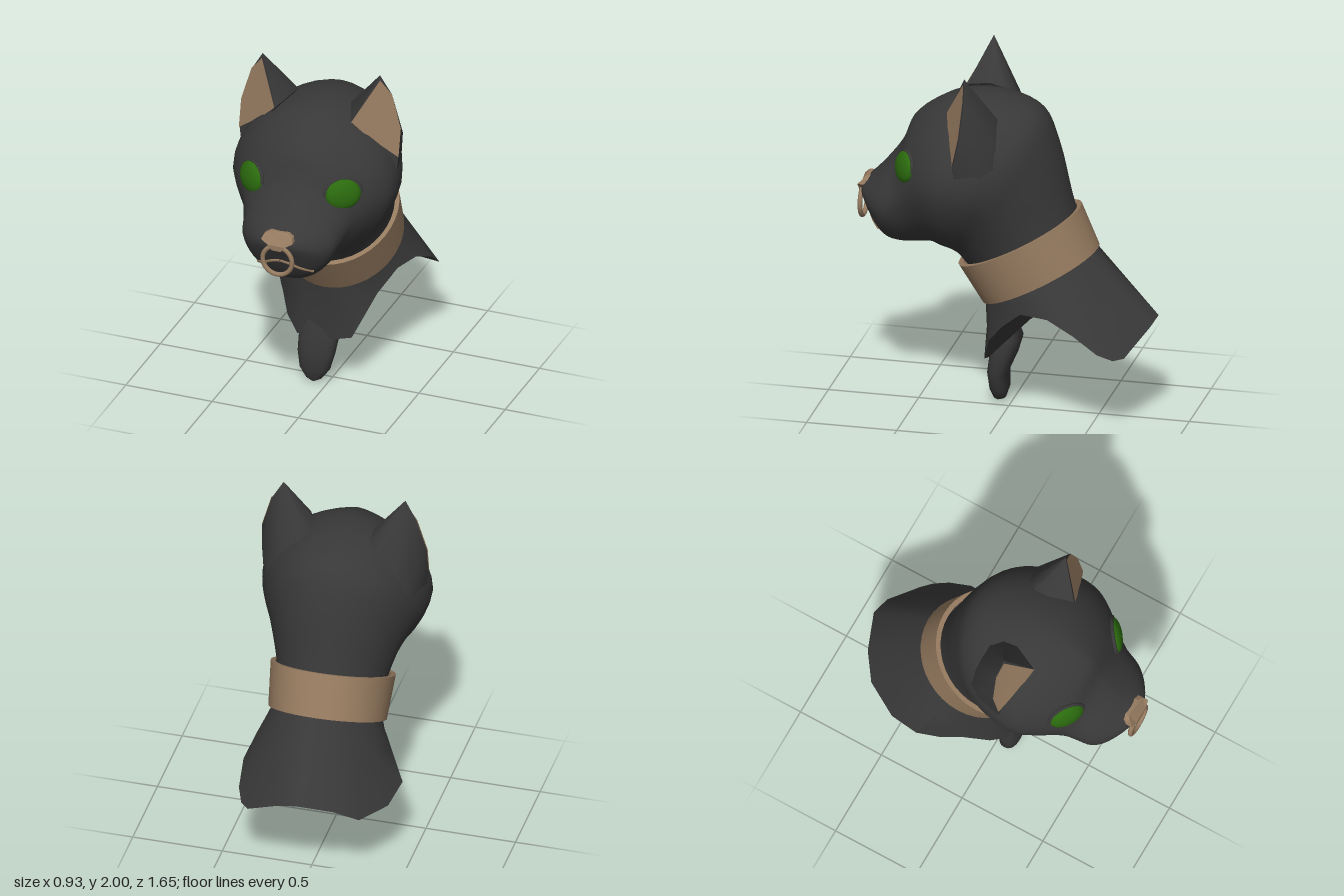
import * as THREE from 'three';
import { toCreasedNormals } from 'three/addons/utils/BufferGeometryUtils.js';
import { ConvexGeometry } from 'three/addons/geometries/ConvexGeometry.js';

const V = (x, y, z) => new THREE.Vector3(x, y, z);

// Skin a list of closed rings with equal point counts
function loft(rings) {
  const n = rings[0].length, index = [];
  for (let i = 0; i < rings.length - 1; i++) {
    for (let j = 0; j < n; j++) {
      const k = (j + 1) % n, a = i * n, b = a + n;
      index.push(a + j, a + k, b + j, a + k, b + k, b + j);
    }
  }
  const geo = new THREE.BufferGeometry().setFromPoints(rings.flat());
  geo.setIndex(index);
  geo.computeVertexNormals();
  return geo;
}

// Head and neck: rows of top y, top z, bottom y, bottom z, half width, crown pinch
const SECTIONS = [
  [1.215, 0.815, 1.195, 0.815, 0.004, 1],
  [1.25, 0.795, 1.13, 0.778, 0.11, 1],
  [1.31, 0.73, 1.02, 0.72, 0.205, 1.1],
  [1.39, 0.66, 0.945, 0.66, 0.26, 1.25],
  [1.5, 0.58, 0.92, 0.58, 0.285, 1.4],
  [1.64, 0.52, 0.925, 0.5, 0.32, 1.4],
  [1.74, 0.4, 0.94, 0.4, 0.405, 1.25],
  [1.8, 0.25, 0.92, 0.33, 0.46, 1.12],
  [1.8, 0.02, 0.9, 0.28, 0.455, 1.04],
  [1.72, -0.18, 0.88, 0.26, 0.41, 1.04],
  [1.53, -0.27, 0.85, 0.24, 0.36, 1.04],
  [1.25, -0.34, 0.8, 0.2, 0.31, 1],
  [1.03, -0.4, 0.68, 0.12, 0.28, 1],
];

function headGeometry() {
  const top = new THREE.CatmullRomCurve3(SECTIONS.map(s => V(s[4], s[0], s[1])));
  // The x of this curve carries the crown pinch
  const bottom = new THREE.CatmullRomCurve3(SECTIONS.map(s => V(s[5], s[2], s[3])));
  const rings = [], rows = 48, sides = 40;
  for (let i = 0; i <= rows; i++) {
    const t = top.getPoint(i / rows), b = bottom.getPoint(i / rows), ring = [];
    for (let j = 0; j < sides; j++) {
      const a = j / sides * Math.PI * 2, c = Math.cos(a), s = Math.sin(a);
      const bulge = Math.pow(Math.abs(s), c > 0 ? b.x : 0.95) * (1 - 0.14 * Math.max(0, -c));
      ring.push(V(Math.sign(s) * t.x * bulge,
        (t.y + b.y) / 2 + (t.y - b.y) / 2 * c, (t.z + b.z) / 2 + (t.z - b.z) / 2 * c));
    }
    rings.push(ring);
  }
  return loft(rings);
}

// Ragged lower edge of the shoulders, from the front round by the left side
const EDGE = [
  [-0.06, 0.28, 0.1], [0.05, 0.29, 0.1], [0.15, 0.32, 0.1], [0.21, 0.45, 0.06],
  [0.25, 0.55, -0.02], [0.32, 0.66, -0.14], [0.365, 0.66, -0.3], [0.395, 0.59, -0.45],
  [0.385, 0.49, -0.58], [0.35, 0.45, -0.66], [0.3, 0.45, -0.71], [0.11, 0.57, -0.81],
  [0, 0.6, -0.83], [-0.19, 0.55, -0.76], [-0.31, 0.46, -0.67], [-0.42, 0.45, -0.48],
  [-0.455, 0.5, -0.31], [-0.38, 0.4, -0.2], [-0.33, 0.42, -0.1], [-0.25, 0.35, 0.03],
  [-0.17, 0.28, 0.09],
].map(p => V(...p));

function shoulderGeometry() {
  const neck = EDGE.map(p => {
    const a = Math.atan2(p.x, p.z + 0.3), c = Math.cos(a);
    return V(0.285 * Math.sin(a), 0.828 - 0.16 * c, -0.163 + 0.287 * c);
  });
  // Slight waist towards the front
  const mid = EDGE.map((p, i) => {
    const q = p.clone().lerp(neck[i], 0.5);
    q.z -= 0.012 * Math.max(0, Math.cos(Math.atan2(p.x, p.z + 0.3)));
    return q;
  });
  const hollow = V(0, 0.7, -0.3);
  const inner = EDGE.map(p => p.clone().lerp(hollow, 0.35));
  return toCreasedNormals(loft([EDGE.map(() => hollow), inner, EDGE, mid, neck]), 0.8);
}

// Chest tuft: rows of y, centre x, half width, front z, back z
const TUFT = [
  [0, -0.08, 0.004, 0.085, 0.075], [0.02, -0.08, 0.045, 0.1, 0.035],
  [0.08, -0.075, 0.085, 0.12, 0.015], [0.18, -0.065, 0.105, 0.128, 0.015],
  [0.28, -0.06, 0.112, 0.114, -0.03], [0.38, -0.06, 0.105, 0.095, -0.06],
  [0.46, -0.05, 0.07, 0.07, -0.04],
];

function tuftGeometry() {
  const sides = 20;
  return loft(TUFT.map(([y, cx, w, front, back]) => Array.from({ length: sides }, (_, j) => {
    const a = j / sides * Math.PI * 2, c = Math.cos(a), s = Math.sin(a);
    const box = v => Math.sign(v) * Math.pow(Math.abs(v), 0.8);
    return V(cx + w * box(s), y, (front + back) / 2 + (front - back) / 2 * box(c));
  })));
}

export function createModel() {
  const root = new THREE.Group();
  root.name = 'catBust';
  const fur = new THREE.MeshStandardMaterial({ color: 0x383838, side: THREE.DoubleSide });
  fur.name = 'charcoal';
  const tan = new THREE.MeshStandardMaterial({ color: 0x957a5f, side: THREE.DoubleSide });
  tan.name = 'tan';
  const green = new THREE.MeshStandardMaterial({ color: 0x2b6a0e });
  green.name = 'green';

  const add = (name, geo, mat, parent = root) => {
    const mesh = new THREE.Mesh(geo, mat);
    mesh.name = name;
    parent.add(mesh);
    return mesh;
  };

  const head = add('head', headGeometry(), fur);
  head.updateMatrixWorld(true);
  // Point on the face at a given x and y
  const onHead = (x, y) => {
    const hit = new THREE.Raycaster(V(x, y, 3), V(0, 0, -1)).intersectObject(head)[0];
    return hit ? hit.point : V(x, y, 0.5);
  };

  add('shoulders', shoulderGeometry(), fur);
  add('chestTuft', tuftGeometry(), fur);

  // Tilted collar band with thickness
  const band = [[0.335, -0.124], [0.356, -0.124], [0.376, 0.122], [0.348, 0.122], [0.335, -0.124]];
  const collar = add('collar', toCreasedNormals(
    new THREE.LatheGeometry(band.map(p => new THREE.Vector2(...p)), 40), 0.6), tan);
  collar.scale.x = 0.9;
  collar.rotation.x = 0.49;
  collar.position.set(0, 0.897, -0.12);

  // Nose plate, sloping back at the top
  const noseShape = new THREE.Shape([[-0.09, 1.24], [-0.05, 1.215], [-0.025, 1.185], [0.025, 1.185],
    [0.05, 1.215], [0.09, 1.24], [0.08, 1.265], [0.05, 1.28], [-0.05, 1.28], [-0.08, 1.265]]
    .map(p => new THREE.Vector2(...p)));
  const noseGeo = new THREE.ExtrudeGeometry(noseShape, { depth: 0.07, bevelEnabled: false });
  const np = noseGeo.attributes.position;
  for (let i = 0; i < np.count; i++) {
    np.setZ(i, np.getZ(i) + 0.753 - Math.max(0, np.getY(i) - 1.235));
  }
  noseGeo.computeVertexNormals();
  add('nose', noseGeo, tan);

  // Nose ring
  add('noseRing', new THREE.TorusGeometry(0.085, 0.013, 10, 32), tan).position.set(0, 1.12, 0.805);

  // Ear hull sinking into the skull, and its planar inner face
  const earFront = [[0.34, 2.0, 0.165], [0.22, 1.75, 0.285], [0.3, 1.67, 0.259],
    [0.46, 1.54, 0.199], [0.46, 1.7, 0.165], [0.405, 1.89, 0.153]].map(p => V(...p));
  const earBack = [[0.31, 1.96, 0.15], [0.165, 1.79, 0.15], [0.17, 1.77, 0.07], [0.31, 1.84, 0.1],
    [0.2, 1.7, -0.01], [0.33, 1.66, 0], [0.37, 1.48, -0.03], [0.41, 1.32, 0.05],
    [0.435, 1.62, 0.07], [0.44, 1.36, 0.2]].map(p => V(...p));
  const earGeo = toCreasedNormals(new ConvexGeometry([...earFront, ...earBack]), 1.0);
  const normal = V(0.036, 0.0144, 0.066).normalize();
  const innerPoints = earFront.map(p => p.clone().addScaledVector(normal, 0.006));
  innerPoints[0].y -= 0.03;
  const innerGeo = new THREE.BufferGeometry().setFromPoints(innerPoints);
  innerGeo.setIndex([0, 1, 2, 0, 2, 3, 0, 3, 4, 0, 4, 5]);
  innerGeo.computeVertexNormals();

  for (const side of [1, -1]) {
    const label = side > 0 ? 'left' : 'right';
    const ear = new THREE.Group();
    ear.name = label + 'Ear';
    ear.scale.x = side;
    root.add(ear);
    add(label + 'EarShell', earGeo, fur, ear);
    add(label + 'EarInner', innerGeo, tan, ear);

    // Eye with a thin upper lid
    const eye = new THREE.Group();
    const gaze = V(side * 0.57, 0.17, 0.8).normalize();
    eye.name = label + 'Eye';
    eye.position.copy(onHead(side * 0.27, 1.435)).addScaledVector(gaze, -0.01);
    eye.lookAt(eye.position.clone().add(gaze));
    root.add(eye);
    add(label + 'Eyeball', new THREE.SphereGeometry(1, 24, 16), green, eye).scale.set(0.1, 0.087, 0.04);
    const lid = add(label + 'Eyelid', new THREE.TorusGeometry(0.101, 0.01, 8, 24, Math.PI), fur, eye);
    lid.scale.y = 0.87;

    // Mouth line along the lip
    const line = [[0, 1.1], [0.05, 1.085], [0.1, 1.055], [0.16, 1.025]].map(([x, y]) => onHead(side * x, y));
    add(label + 'MouthLine', new THREE.TubeGeometry(new THREE.CatmullRomCurve3(line), 16, 0.009, 6), tan);
  }
  return root;
}
